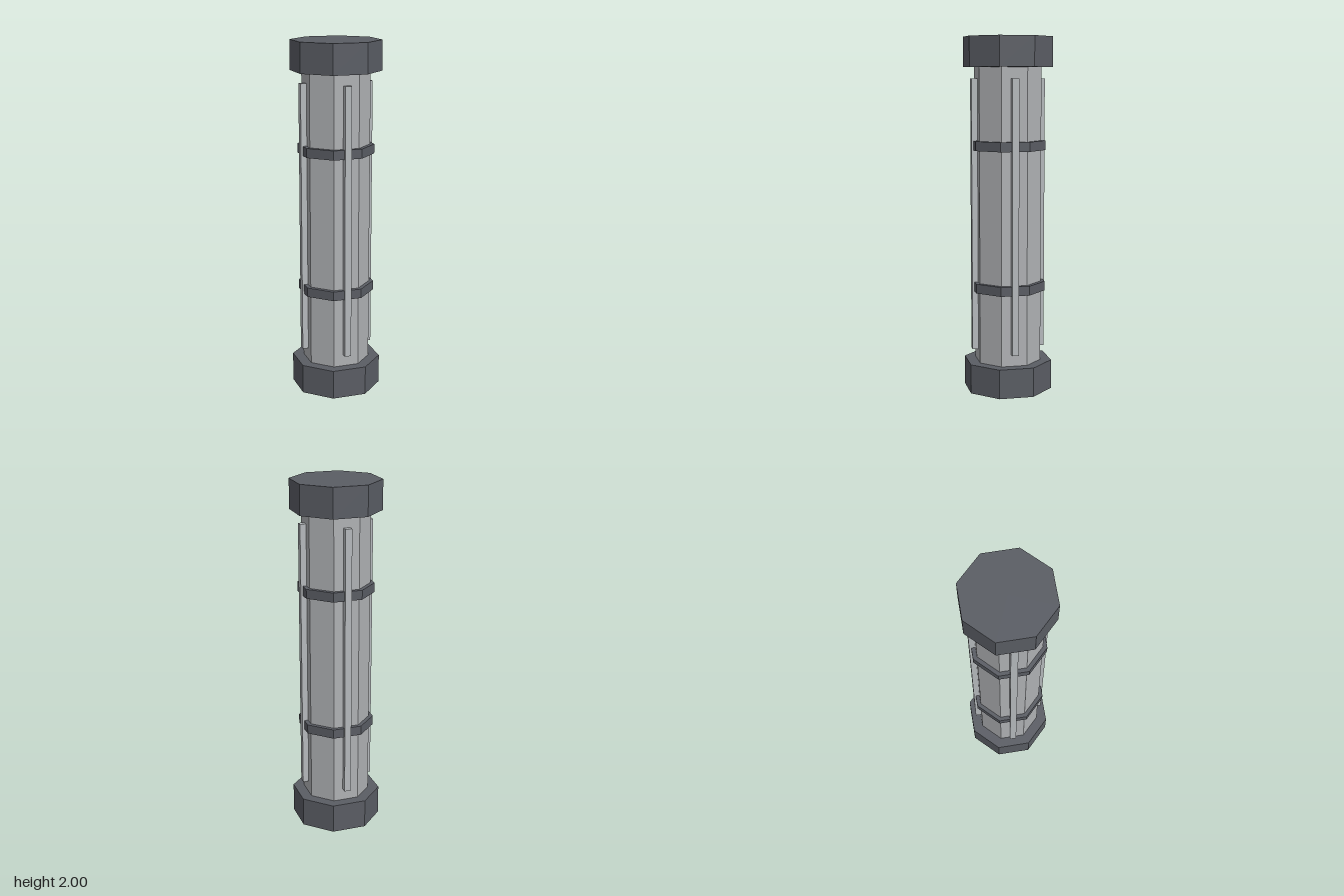
import * as THREE from 'three';

export function createModel() {
  const model = new THREE.Group();
  model.name = 'column';

  const mat = (name, color) => {
    const m = new THREE.MeshStandardMaterial({ color, flatShading: true });
    m.name = name;
    return m;
  };
  const dark = mat('dark steel', 0x5a5d64);
  const pale = mat('pale metal', 0xb0b2b5);
  const light = mat('light metal', 0xb6babd);

  // Eight-sided prism with corners on the x and z axes
  const prism = (name, radius, bottom, top, material) => {
    const mesh = new THREE.Mesh(new THREE.CylinderGeometry(radius, radius, top - bottom, 8), material);
    mesh.name = name;
    mesh.position.y = (bottom + top) / 2;
    model.add(mesh);
  };

  prism('baseCap', 0.253, 0, 0.167, dark);
  prism('shaft', 0.19, 0.16, 1.84, pale);
  prism('topCap', 0.253, 1.833, 2, dark);
  prism('lowerBand', 0.214, 0.574, 0.627, dark);
  prism('upperBand', 0.214, 1.374, 1.427, dark);

  // Square rods set into the middle of every other face
  const rodGeometry = new THREE.BoxGeometry(0.038, 1.535, 0.038);
  for (let i = 0; i < 4; i++) {
    const angle = Math.PI / 8 + (i * Math.PI) / 2;
    const rod = new THREE.Mesh(rodGeometry, light);
    rod.name = `rod${i + 1}`;
    rod.position.set(Math.sin(angle) * 0.19, 1.003, Math.cos(angle) * 0.19);
    rod.rotation.y = angle;
    model.add(rod);
  }

  return model;
}
